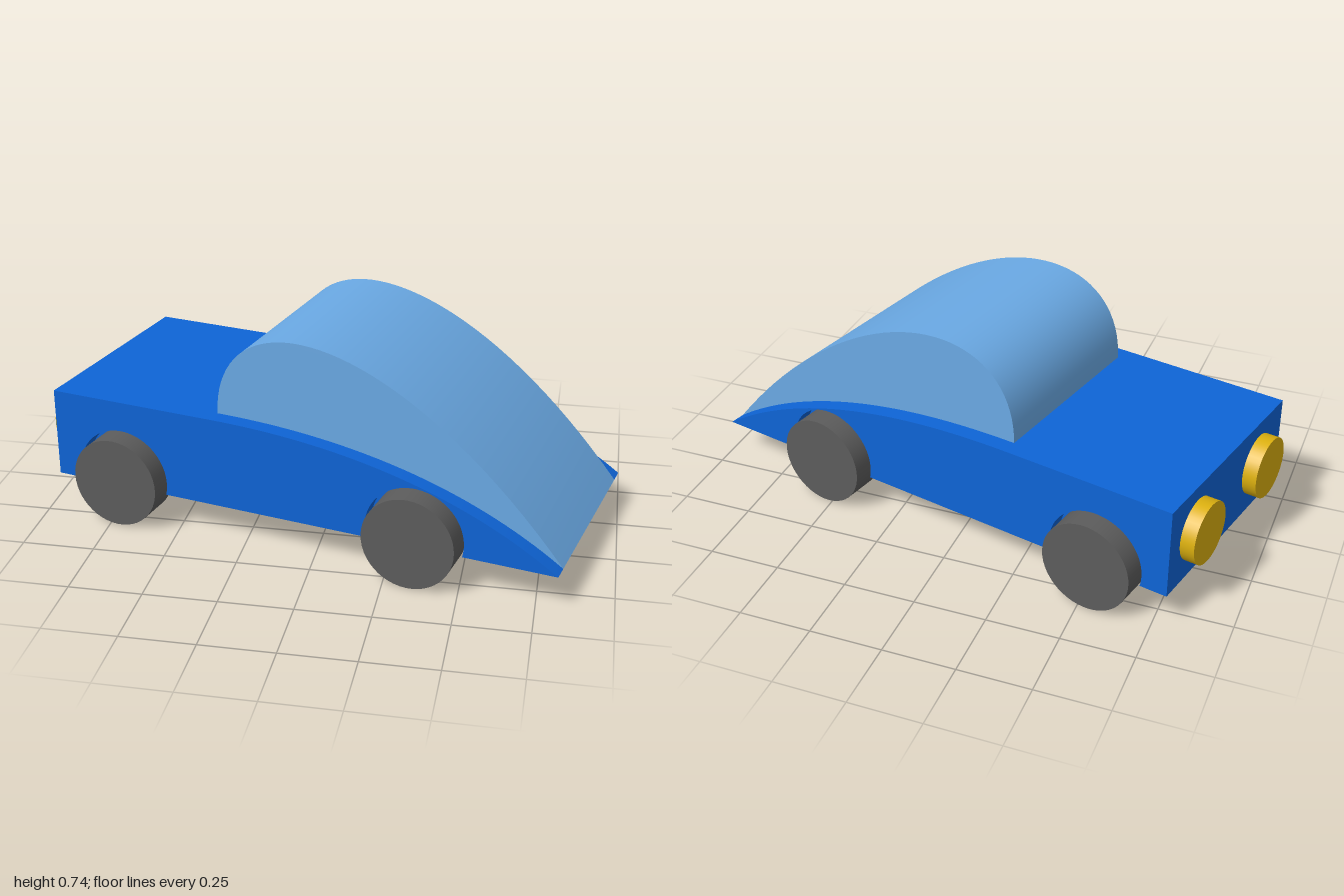
import * as THREE from 'three';
import { toCreasedNormals } from 'three/addons/utils/BufferGeometryUtils.js';

const mat = (name, color) => {
  const m = new THREE.MeshStandardMaterial({ color });
  m.name = name;
  return m;
};

export function createModel() {
  const blue = mat('body blue', 0x0e64d6);
  const glass = mat('canopy light blue', 0x6aa9e4);
  const rubber = mat('tyre grey', 0x5c5c5c);
  const yellow = mat('lamp yellow', 0xdcb00f);

  const model = new THREE.Group();
  model.name = 'toyCar';

  // The car stands turned on the ground; its length runs along local x
  const car = new THREE.Group();
  car.name = 'car';
  car.rotation.y = -0.2258;
  car.position.set(0.0125, 0, 0.015);
  model.add(car);

  const add = (name, geometry, material, x = 0, y = 0, z = 0) => {
    const mesh = new THREE.Mesh(geometry, material);
    mesh.name = name;
    mesh.position.set(x, y, z);
    car.add(mesh);
    return mesh;
  };
  const slab = (shape, z0, z1) => {
    const g = new THREE.ExtrudeGeometry(shape, { depth: z1 - z0, bevelEnabled: false, curveSegments: 40 });
    g.translate(0, 0, z0);
    return toCreasedNormals(g, 0.5);
  };

  const end = 0.916, base = 0.12, deck = 0.44, canopyX = -0.303;
  const half = 0.395, wellZ = 0.33;
  const wheelXs = [-0.652, 0.431], wheelR = 0.16, archR = 0.172;

  // Side profile of the body, optionally with wheel arches cut from the bottom
  const bodyShape = (arches) => {
    const s = new THREE.Shape();
    s.moveTo(-end, base);
    if (arches) {
      const a = Math.asin((wheelR - base) / archR);
      for (const x of wheelXs) {
        s.lineTo(x - archR * Math.cos(a), base);
        s.absarc(x, wheelR, archR, Math.PI + a, -a, true);
      }
    }
    s.lineTo(end, base);
    s.quadraticCurveTo(0.45, deck, canopyX, deck);
    s.lineTo(-end, deck);
    s.closePath();
    return s;
  };
  add('bodyCore', slab(bodyShape(false), -wellZ, wellZ), blue);
  add('bodySideFront', slab(bodyShape(true), wellZ, half), blue);
  add('bodySideBack', slab(bodyShape(true), -half, -wellZ), blue);

  // Domed canopy resting on the sloping body
  const dome = new THREE.Shape();
  dome.moveTo(canopyX, deck);
  dome.bezierCurveTo(canopyX, 0.88, 0.3, 0.88, end, base);
  dome.quadraticCurveTo(0.45, deck, canopyX, deck);
  add('canopy', slab(dome, -0.337, 0.337), glass);

  // Wheels and lamps, mirrored across the car
  const wheel = new THREE.CylinderGeometry(wheelR, wheelR, 0.122, 48).rotateX(Math.PI / 2);
  const lamp = new THREE.CylinderGeometry(0.108, 0.108, 0.05, 40).rotateZ(Math.PI / 2);
  for (const side of [-1, 1]) {
    for (const x of wheelXs) add('wheel', wheel, rubber, x, wheelR, side * 0.396);
    add('lamp', lamp, yellow, -end - 0.025, 0.28, side * 0.22);
  }
  return model;
}
